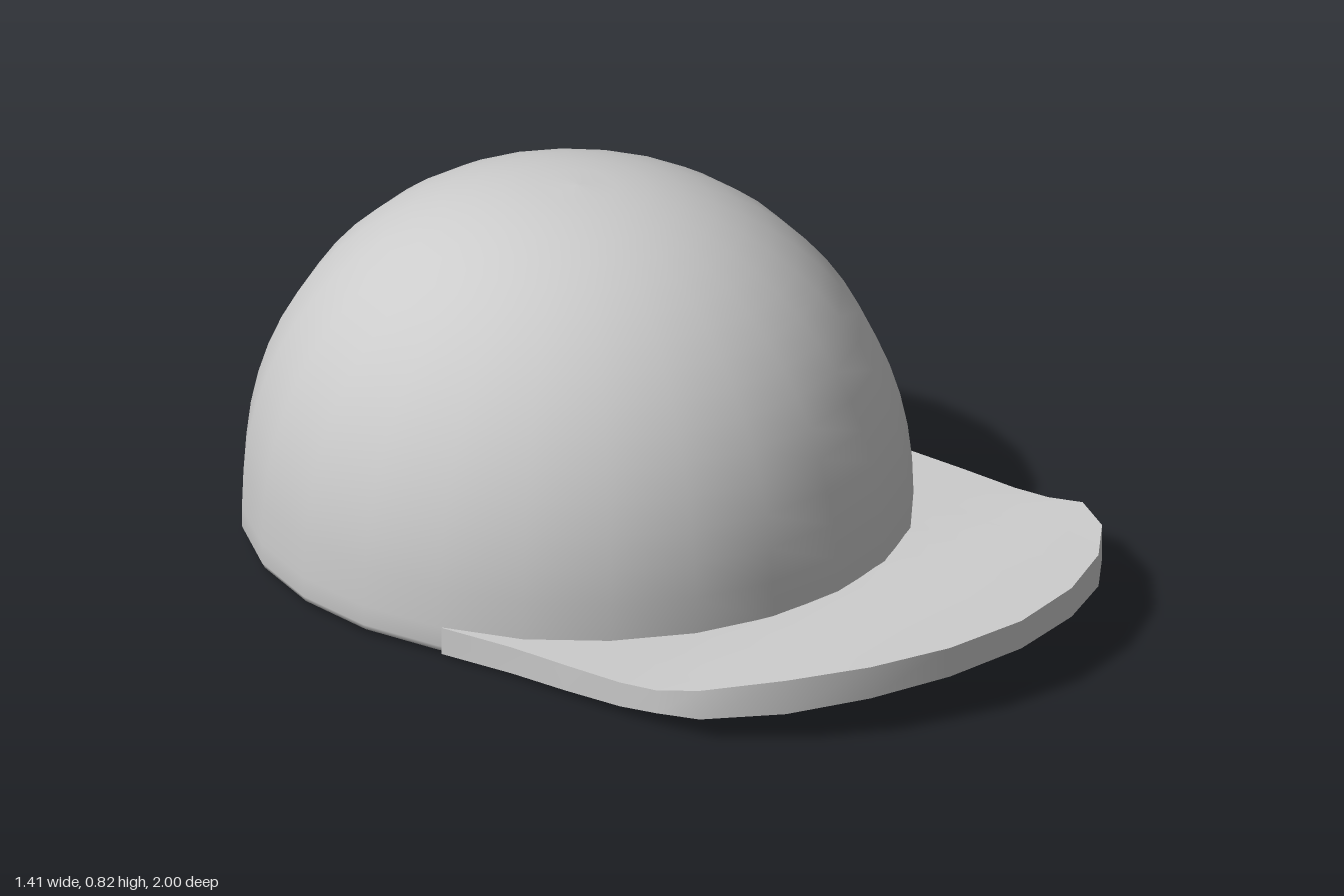
import * as THREE from 'three';
import { toCreasedNormals } from 'three/addons/utils/BufferGeometryUtils.js';

// piecewise-linear lookup in a list of [key, value]
function lookup(table, k) {
  if (k <= table[0][0]) return table[0][1];
  for (let i = 1; i < table.length; i++) {
    const [k0, v0] = table[i - 1], [k1, v1] = table[i];
    if (k <= k1) return v0 + (v1 - v0) * (k - k0) / (k1 - k0);
  }
  return table[table.length - 1][1];
}

// slightly full dome with a short vertical band and a closed, bevelled base
function crownGeometry() {
  const profile = [[0, 0.004], [0.93, 0.004], [0.965, 0.006], [0.99, 0.012], [1, 0.025]];
  const n = 16, e = 2 / 2.15;
  for (let i = 0; i <= n; i++) {
    const a = (i / n) * Math.PI / 2;
    const r = i === n ? 0 : Math.cos(a) ** e;
    profile.push([r, 0.07 + 0.75 * Math.sin(a) ** e]);
  }
  const geo = new THREE.LatheGeometry(profile.map(([r, y]) => new THREE.Vector2(r, y)), 24);
  geo.scale(0.705, 1, 0.74);
  geo.translate(0, 0, -0.26);
  return geo;
}

// brim: a plan outline, swept by rings shrinking toward a point inside the crown
function brimGeometry() {
  const half = [[0.68, -0.06], [0.657, 0.12], [0.655, 0.27], [0.65, 0.42], [0.645, 0.52],
    [0.63, 0.63], [0.52, 0.78], [0.375, 0.895], [0.2, 0.97]];
  const outline = [...half, [0, 1], ...half.map(([x, z]) => [-x, z]).reverse()];
  const topY = [[0.1, 0.07], [0.46, 0.078], [0.54, 0.09], [0.62, 0.112], [0.72, 0.135],
    [0.82, 0.152], [0.92, 0.164], [1, 0.17]];
  const rimY = [[0.1, 0.008], [0.4, 0.018], [0.62, 0.045], [0.78, 0.066], [0.9, 0.088], [1, 0.105]];
  const topRings = [0, 0.3, 0.42, 0.5, 0.58, 0.66, 0.74, 0.82, 0.91, 1];
  const underRings = [1, 0.93, 0.86, 0.79, 0.72, 0.6, 0];
  const cz = 0.1, pos = [], index = [];

  for (const [x, z] of outline) {
    const at = (s) => [x * s, cz + (z - cz) * s];
    for (const s of topRings) {
      const [px, pz] = at(s);
      pos.push(px, lookup(topY, pz), pz);
    }
    for (const s of underRings) {
      const [px, pz] = at(s);
      const lift = Math.max(0, (s - 0.6) / 0.4) ** 2.1;
      pos.push(px, lookup(rimY, z) * lift, pz);
    }
  }
  const m = topRings.length + underRings.length;
  for (let i = 0; i < outline.length - 1; i++) {
    for (let j = 0; j < m - 1; j++) {
      const a = i * m + j, b = a + 1, c = a + m, d = c + 1;
      if (j > 0) index.push(a, c, d);
      if (j === 0) index.push(a, d, b);
      else if (j < m - 2) index.push(a, d, b);
    }
  }
  const geo = new THREE.BufferGeometry();
  geo.setAttribute('position', new THREE.Float32BufferAttribute(pos, 3));
  geo.setIndex(index);
  // outline runs from +x round the front to -x, so flip the faces outward
  const idx = geo.index.array;
  for (let i = 0; i < idx.length; i += 3) [idx[i + 1], idx[i + 2]] = [idx[i + 2], idx[i + 1]];
  return toCreasedNormals(geo, 0.75);
}

export function createModel() {
  const group = new THREE.Group();
  group.name = 'cap';
  const grey = new THREE.MeshStandardMaterial({ color: 0xcccccc, side: THREE.DoubleSide });
  const add = (name, geo) => {
    const mesh = new THREE.Mesh(geo, grey);
    mesh.name = name;
    group.add(mesh);
  };
  add('crown', crownGeometry());
  add('brim', brimGeometry());
  return group;
}
